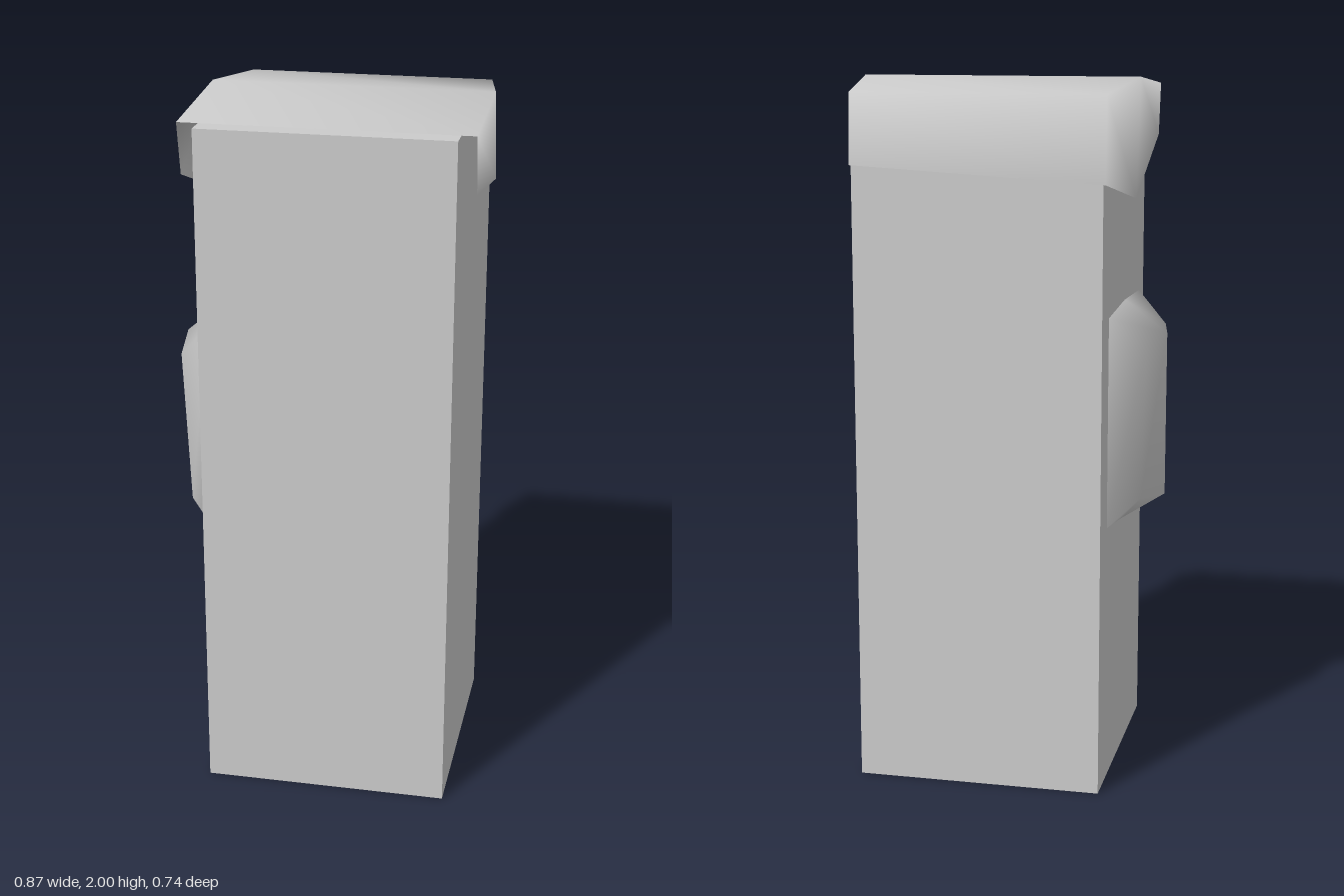
import * as THREE from 'three';

const material = new THREE.MeshStandardMaterial({ color: 0xcccccc, side: THREE.DoubleSide });

// Smooth shell: a six-point face (two quads) with a skirt running out to a rim.
// Both loops run counter-clockwise as seen from outside.
function shell(name, face, rim, closed) {
  const index = [];
  const quad = (a, b, c, d) => index.push(a, b, c, a, c, d);
  quad(0, 1, 4, 5);
  quad(1, 2, 3, 4);
  for (let i = 0; i < (closed ? 6 : 5); i++) {
    const j = (i + 1) % 6;
    quad(i, 6 + i, 6 + j, j);
  }
  const geometry = new THREE.BufferGeometry();
  geometry.setAttribute('position', new THREE.Float32BufferAttribute([...face, ...rim].flat(), 3));
  geometry.setIndex(index);
  geometry.computeVertexNormals();
  const mesh = new THREE.Mesh(geometry, material);
  mesh.name = name;
  return mesh;
}

export function createModel() {
  const group = new THREE.Group();
  group.name = 'cappedPost';

  // Hollow square post, open underneath
  const box = new THREE.BoxGeometry(0.7, 1.96, 0.71);
  const sides = Array.from(box.index.array);
  sides.splice(18, 6); // remove the bottom face
  box.setIndex(sides);
  box.clearGroups();
  const post = new THREE.Mesh(box, material);
  post.name = 'post';
  post.position.set(0.04, 0.98, 0.014);
  group.add(post);

  // Draped cap, hanging over both sides and the back, open at the front
  group.add(shell('cap',
    [[0.435, 1.968, 0.34], [0.435, 2, -0.04], [0.387, 1.966, -0.355],
      [-0.32, 1.966, -0.355], [-0.36, 2, -0.04], [-0.36, 1.968, 0.34]],
    [[0.435, 1.805, 0.31], [0.435, 1.74, -0.11], [0.387, 1.77, -0.367],
      [-0.32, 1.73, -0.367], [-0.36, 1.67, -0.1], [-0.36, 1.82, 0.31]],
    false));

  // Rounded growth on the right side of the post
  group.add(shell('sideBulge',
    [[-0.395, 0.83, -0.17], [-0.437, 0.8, 0.015], [-0.385, 0.825, 0.205],
      [-0.405, 1.27, 0.205], [-0.437, 1.275, 0.015], [-0.405, 1.26, -0.17]],
    [[-0.31, 0.755, -0.235], [-0.31, 0.715, 0.03], [-0.31, 0.71, 0.21],
      [-0.31, 1.355, 0.29], [-0.31, 1.365, 0.03], [-0.31, 1.353, -0.235]],
    true));

  return group;
}
